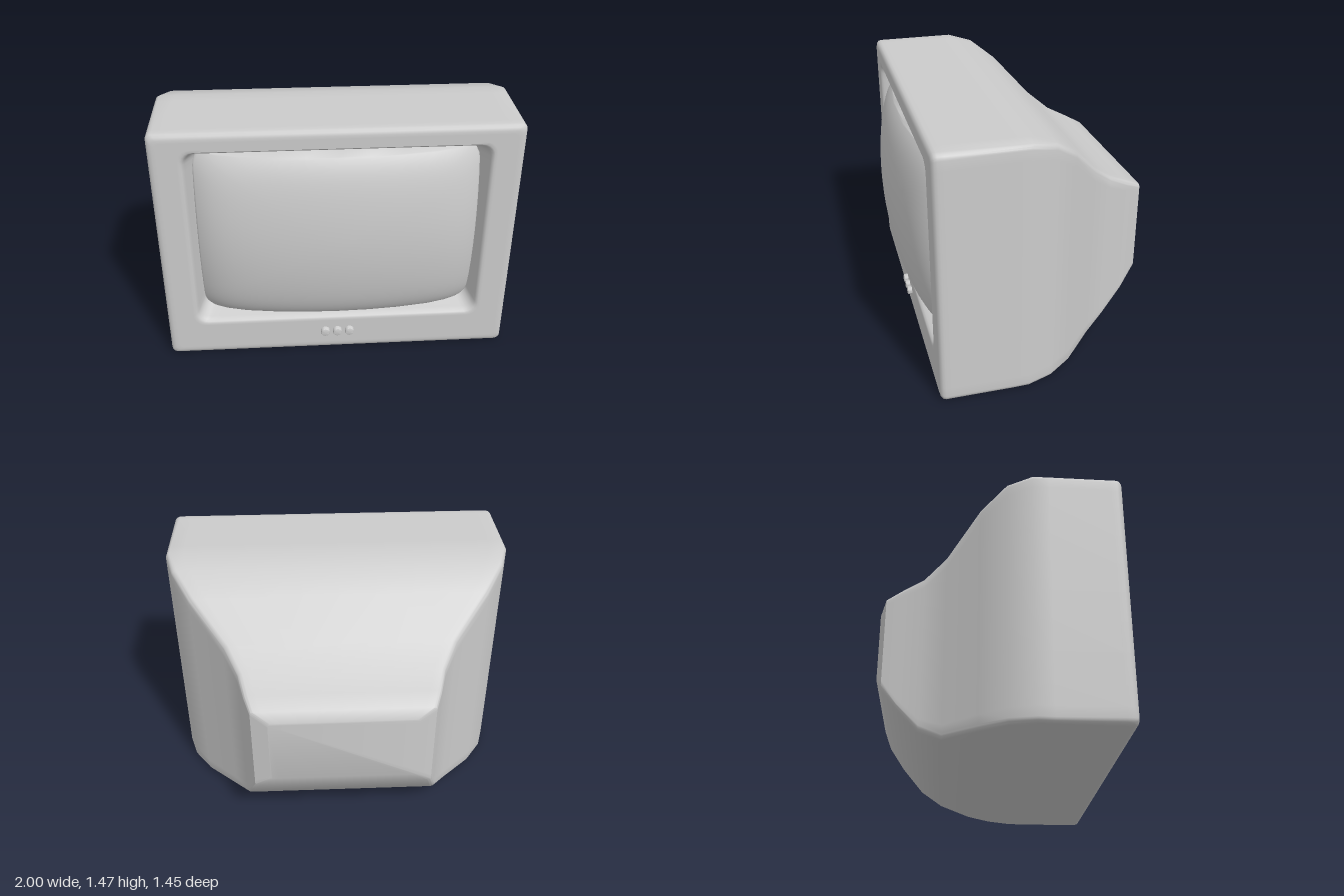
import * as THREE from 'three';
import { toCreasedNormals } from 'three/addons/utils/BufferGeometryUtils.js';

const EDGE_STEPS = [0.04, 0.12, 0.25, 0.375, 0.5, 0.625, 0.75, 0.88, 0.96];

// Rounded rectangle, counter-clockwise seen from +z, always with the same point count
function outline(w, bottom, top, r) {
  const corners = [[w - r, top - r], [r - w, top - r], [r - w, bottom + r], [w - r, bottom + r]];
  const pts = [];
  corners.forEach(([cx, cy], c) => {
    for (let k = 0; k <= 5; k++) {
      const a = (c + k / 5) * Math.PI / 2;
      pts.push([cx + r * Math.cos(a), cy + r * Math.sin(a)]);
    }
    const [px, py] = pts[pts.length - 1];
    const [nx, ny] = corners[(c + 1) % 4];
    const b = (c + 1) * Math.PI / 2;
    const qx = nx + r * Math.cos(b), qy = ny + r * Math.sin(b);
    for (const t of EDGE_STEPS) pts.push([px + (qx - px) * t, py + (qy - py) * t]);
  });
  return pts;
}

// Skin through rings of [x, y, z]; optional flat cap on the first or last ring
function loft(rings, capFirst, capLast, crease) {
  const n = rings[0].length, pos = rings.flat(2), idx = [];
  for (let i = 0; i < rings.length - 1; i++) {
    for (let j = 0; j < n; j++) {
      const a = i * n + j, b = i * n + (j + 1) % n;
      idx.push(a, b, b + n, a, b + n, a + n);
    }
  }
  const last = (rings.length - 1) * n;
  for (let j = 1; j < n - 1; j++) {
    if (capFirst) idx.push(0, j + 1, j);
    if (capLast) idx.push(last, last + j, last + j + 1);
  }
  const g = new THREE.BufferGeometry();
  g.setAttribute('position', new THREE.Float32BufferAttribute(pos, 3));
  g.setIndex(idx);
  return toCreasedNormals(g, crease);
}

export function createModel() {
  const group = new THREE.Group();
  const material = new THREE.MeshStandardMaterial({ color: 0xcccccc });
  const add = (name, geometry, mat = material) => {
    const mesh = new THREE.Mesh(geometry, mat);
    mesh.name = name;
    group.add(mesh);
    return mesh;
  };

  // Housing: z, half width, bottom, top, corner radius; back to front, then into the recess
  const sections = [
    [-0.725, 0.42, 0.455, 0.87, 0.015],
    [-0.69, 0.515, 0.37, 0.925, 0.02],
    [-0.6, 0.55, 0.24, 0.97, 0.025],
    [-0.475, 0.587, 0.097, 1.03, 0.03],
    [-0.35, 0.663, 0.03, 1.13, 0.03],
    [-0.165, 0.855, 0.01, 1.333, 0.03],
    [-0.025, 0.955, 0.006, 1.437, 0.03],
    [0.115, 1, 0.002, 1.472, 0.03],
    [0.2, 1, 0, 1.472, 0.03],
    [0.55, 1, 0, 1.472, 0.035],
    [0.585, 1, 0, 1.472, 0.035],
    [0.6, 0.996, 0.004, 1.468, 0.035],
    [0.611, 0.985, 0.015, 1.457, 0.03],
    [0.616, 0.968, 0.032, 1.44, 0.03],
    [0.616, 0.95, 0.05, 1.422, 0.03],
    [0.616, 0.85, 0.21, 1.38, 0.075],
    [0.616, 0.836, 0.224, 1.366, 0.07],
    [0.611, 0.826, 0.234, 1.359, 0.068],
    [0.6, 0.818, 0.242, 1.353, 0.066],
    [0.58, 0.811, 0.25, 1.347, 0.065],
    [0.48, 0.78, 0.282, 1.32, 0.06],
    [0.44, 0.76, 0.3, 1.3, 0.06],
  ];
  add('housing', loft(sections.map(([z, w, b, t, r]) =>
    outline(w, b, t, r).map(([x, y]) => [x, y, z])), true, false, 0.62));

  // Bulging picture tube: concentric rings over a domed surface, with a skirt behind
  const W = 0.78, H = 0.517, midY = 0.8;
  const rim = outline(W, -H, H, 0.075);
  const dome = (x, y) => {
    const u = Math.abs(x / W), v = Math.abs(y / H);
    return 0.724 - 0.08 * u ** 2 - 0.065 * u ** 8 - 0.075 * v ** 2 - 0.03 * v ** 8;
  };
  const scales = [1, 0.99, 0.975, 0.955, 0.93, 0.9, 0.86, 0.81, 0.75, 0.67, 0.57, 0.45, 0.32, 0.18, 0.06, 0.01];
  const screenRings = [rim.map(([x, y]) => [x, y + midY, 0.4])];
  for (const s of scales) {
    screenRings.push(rim.map(([x, y]) => [x * s, y * s + midY, dome(x * s, y * s)]));
  }
  add('screen', loft(screenRings, false, true, 1.2));

  // Row of three control buttons
  const profile = [[0.027, 0], [0.027, 0.043], [0.024, 0.048], [0.018, 0.05], [0, 0.05]]
    .map(([r, h]) => new THREE.Vector2(r, h));
  const buttonGeometry = toCreasedNormals(new THREE.LatheGeometry(profile, 24).rotateX(Math.PI / 2), 0.7);
  [-0.072, 0, 0.072].forEach((x, i) => {
    add(`button${i + 1}`, buttonGeometry).position.set(x - 0.003, 0.137, 0.593);
  });

  return group;
}
